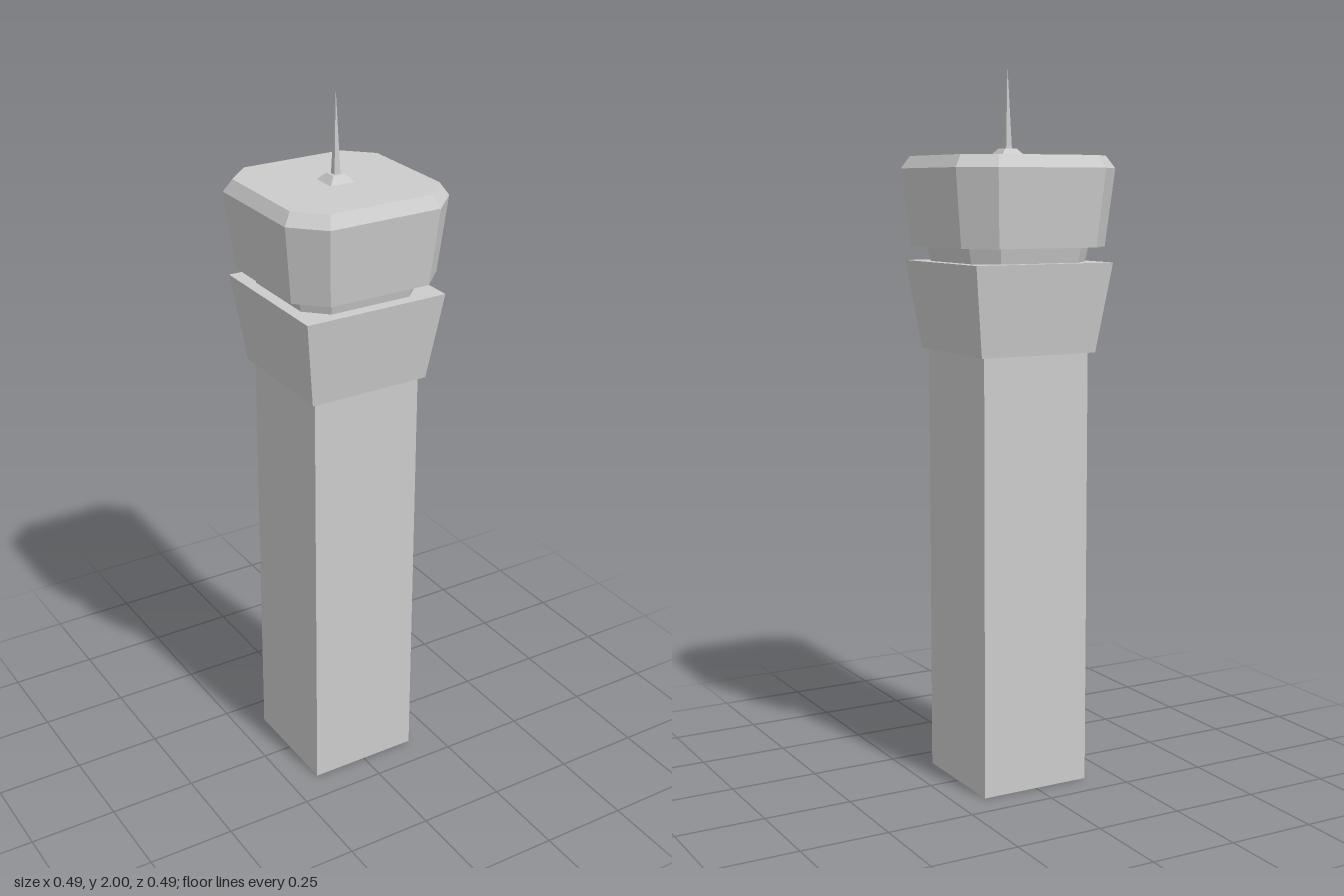
import * as THREE from 'three';

// Outline of a square of given half width; flat > 0 cuts its corners to an octagon
function ring([y, half, flat]) {
  const pts = [];
  for (let i = 0; i < 4; i++) {
    const a = i * Math.PI / 2, c = Math.round(Math.cos(a)), s = Math.round(Math.sin(a));
    const corners = flat ? [[half, flat], [flat, half]] : [[half, half]];
    for (const [u, v] of corners) pts.push([u * c - v * s, y, -(u * s + v * c)]);
  }
  return pts;
}

// Flat-shaded loft through [y, half, flat] sections, listed from bottom to top
function loft(name, sections, { bottom = true, top = true } = {}) {
  const rings = sections.map(ring), n = rings[0].length, pos = [];
  const tri = (a, b, c) => pos.push(...a, ...b, ...c);
  for (let r = 0; r < rings.length - 1; r++) {
    const lo = rings[r], hi = rings[r + 1];
    for (let i = 0; i < n; i++) {
      const j = (i + 1) % n;
      tri(lo[i], lo[j], hi[j]);
      tri(lo[i], hi[j], hi[i]);
    }
  }
  const first = rings[0], last = rings[rings.length - 1];
  for (let i = 1; i < n - 1; i++) {
    if (bottom) tri(first[0], first[i + 1], first[i]);
    if (top) tri(last[0], last[i], last[i + 1]);
  }
  const geo = new THREE.BufferGeometry();
  geo.setAttribute('position', new THREE.Float32BufferAttribute(pos, 3));
  geo.computeVertexNormals();
  const mesh = new THREE.Mesh(geo, new THREE.MeshStandardMaterial({
    color: 0xcccccc, flatShading: true, side: THREE.DoubleSide,
  }));
  mesh.name = name;
  return mesh;
}

export function createModel() {
  const tower = new THREE.Group();
  tower.name = 'controlTower';

  // Square shaft, open underneath
  tower.add(loft('shaft', [[0, 0.163], [1.23, 0.163]], { bottom: false, top: false }));
  // Flared gallery block
  tower.add(loft('gallery', [[1.23, 0.178], [1.478, 0.212]]));
  // Recessed octagonal neck
  tower.add(loft('neck', [[1.478, 0.178, 0.12], [1.52, 0.187, 0.124]], { bottom: false, top: false }));
  // Cab with outward-leaning walls and bevelled roof edge
  tower.add(loft('cab', [[1.52, 0.224, 0.15], [1.733, 0.247, 0.165], [1.767, 0.225, 0.151]]));
  // Antenna base and tapering mast
  tower.add(loft('antennaBase', [[1.767, 0.036], [1.787, 0.018]], { bottom: false }));
  tower.add(loft('antennaMast', [[1.787, 0.009], [2, 0.0005]], { bottom: false }));
  return tower;
}
